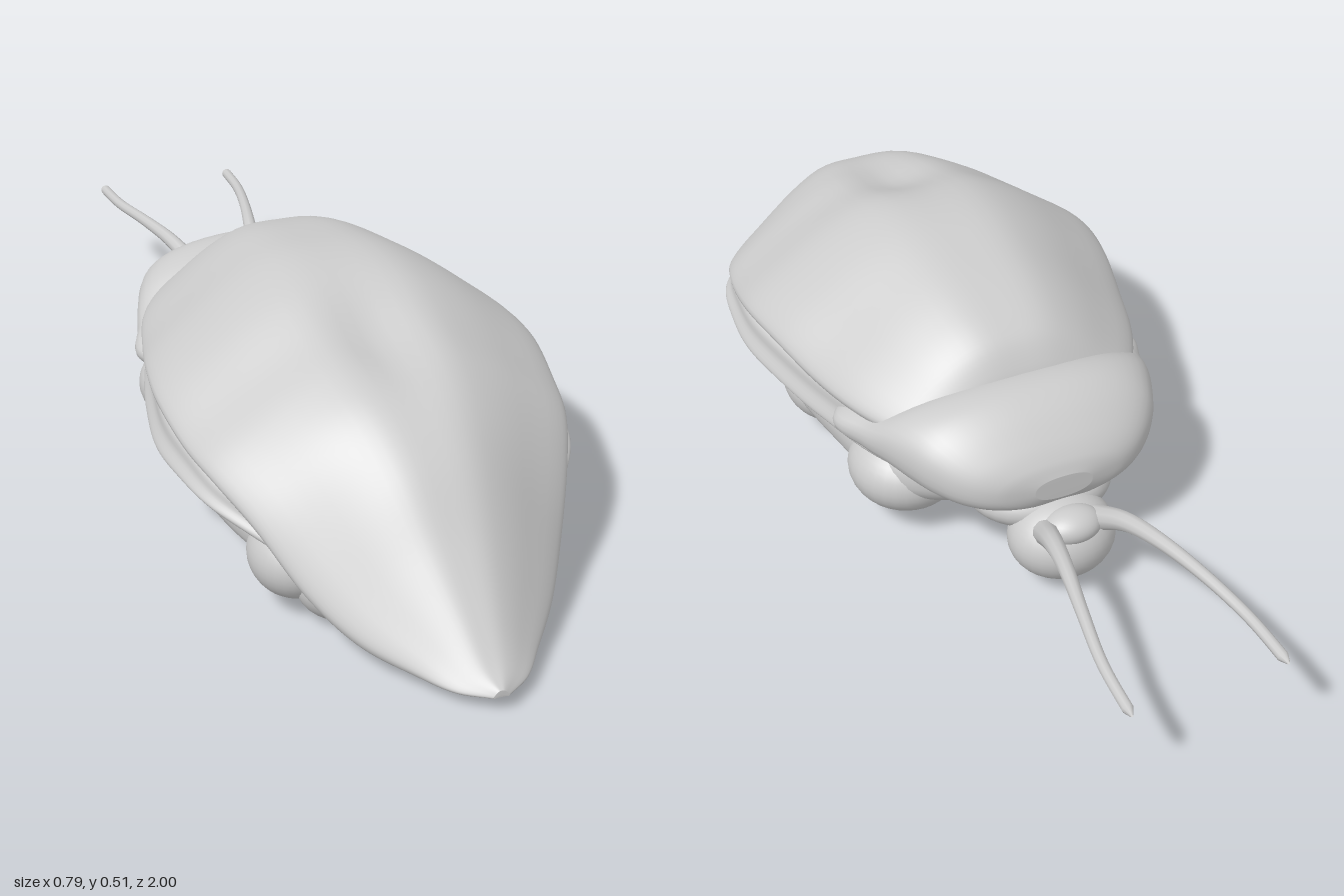
import * as THREE from 'three';

const material = new THREE.MeshStandardMaterial({ color: 0xcccccc, roughness: 0.8, side: THREE.DoubleSide });

// Smooth interpolation of rows [z, a, b, ...] at a given z
function sample(keys, z) {
  let i = 0;
  while (i < keys.length - 2 && z > keys[i + 1][0]) i++;
  const p = keys[i], q = keys[i + 1], h = q[0] - p[0], s = (z - p[0]) / h;
  const slope = (k, c) => {
    const a = keys[Math.max(k - 1, 0)], b = keys[Math.min(k + 1, keys.length - 1)];
    return (b[c] - a[c]) / (b[0] - a[0]);
  };
  return p.slice(1).map((v, n) => {
    const c = n + 1, s2 = s * s, s3 = s2 * s;
    return (2 * s3 - 3 * s2 + 1) * v + (s3 - 2 * s2 + s) * h * slope(i, c)
      + (3 * s2 - 2 * s3) * q[c] + (s3 - s2) * h * slope(i + 1, c);
  });
}

// Closed surface from counter-clockwise rings running towards +z
function loft(name, keys, section, steps = 72) {
  const z0 = keys[0][0], z1 = keys[keys.length - 1][0], pos = [], index = [];
  let n = 0;
  for (let i = 0; i <= steps; i++) {
    const z = z0 + (z1 - z0) * (1 - Math.cos(Math.PI * i / steps)) / 2;
    const ring = section(sample(keys, z), z);
    n = ring.length;
    ring.forEach(([x, y]) => pos.push(x, y, z));
  }
  for (let i = 0; i < steps; i++) for (let j = 0; j < n; j++) {
    const k = (j + 1) % n, a = i * n + j, b = i * n + k;
    index.push(a, b, a + n, b, b + n, a + n);
  }
  for (const [row, end] of [[0, false], [steps, true]]) {
    const c = pos.length / 3;
    let y = 0;
    for (let j = 0; j < n; j++) y += pos[(row * n + j) * 3 + 1] / n;
    pos.push(0, y, end ? z1 : z0);
    for (let j = 0; j < n; j++) {
      const a = row * n + j, b = row * n + (j + 1) % n;
      end ? index.push(c, a, b) : index.push(c, b, a);
    }
  }
  const g = new THREE.BufferGeometry();
  g.setAttribute('position', new THREE.Float32BufferAttribute(pos, 3));
  g.setIndex(index);
  g.computeVertexNormals();
  return named(name, g);
}

function named(name, geometry) {
  const mesh = new THREE.Mesh(geometry, material);
  mesh.name = name;
  return mesh;
}

function blob(name, [x, y, z], [rx, ry, rz]) {
  const mesh = named(name, new THREE.SphereGeometry(1, 32, 20));
  mesh.position.set(x, y, z);
  mesh.scale.set(rx, ry, rz);
  return mesh;
}

// Full symmetric ring from a half outline that runs bottom centre to top centre
function profileRing(half, count = 56) {
  const left = half.slice(1, -1).reverse().map(([x, y]) => [-x, y]);
  const pts = [...half, ...left].map(([x, y]) => new THREE.Vector3(x, y, 0));
  const curve = new THREE.CatmullRomCurve3(pts, true, 'centripetal');
  return Array.from({ length: count }, (_, i) => {
    const p = curve.getPoint(i / count);
    return [p.x, p.y];
  });
}

// Superellipse ring between a bottom and a top height
function ovalRing(w, top, bottom, power) {
  const f = v => Math.sign(v) * Math.abs(v) ** power;
  return Array.from({ length: 48 }, (_, i) => {
    const a = i / 48 * Math.PI * 2;
    return [w * f(Math.cos(a)), (top + bottom) / 2 + (top - bottom) / 2 * f(Math.sin(a))];
  });
}

export function createModel() {
  const group = new THREE.Group();
  group.name = 'beetle';

  // Wing case: half width, top height, rim height
  const wing = [
    [-0.26, 0.17, 0.31, 0.28], [-0.235, 0.225, 0.37, 0.275], [-0.19, 0.265, 0.425, 0.27],
    [-0.1, 0.31, 0.465, 0.272], [0.02, 0.345, 0.492, 0.275], [0.15, 0.375, 0.508, 0.29],
    [0.27, 0.388, 0.498, 0.285], [0.4, 0.375, 0.455, 0.255], [0.5, 0.352, 0.43, 0.235],
    [0.6, 0.308, 0.395, 0.185], [0.7, 0.252, 0.325, 0.1], [0.8, 0.19, 0.22, 0.05],
    [0.9, 0.115, 0.122, 0.032], [0.96, 0.068, 0.068, 0.028], [1, 0.015, 0.045, 0.032],
  ];
  group.add(loft('wingCase', wing, ([w, t, e], z) => {
    const h = t - e;
    // shallow hollow along the back of the shell
    const dip = 0.022 * Math.exp(-(((z - 0.42) / 0.13) ** 2));
    return profileRing([
      [0, e], [w * 0.6, e - h * 0.02], [w * 0.93, e - h * 0.04], [w, e + h * 0.08], [w * 0.96, e + h * 0.2],
      [w * 0.78, e + h * 0.46], [w * 0.52, e + h * 0.78], [w * 0.27, e + h * 0.97], [0, t - dip],
    ]);
  }, 90));

  // Ledge below the wing case: half width, top height, underside height
  const ledge = [
    [-0.24, 0.2, 0.27, 0.19], [-0.18, 0.27, 0.275, 0.19], [0, 0.338, 0.275, 0.195], [0.15, 0.375, 0.275, 0.198],
    [0.28, 0.394, 0.272, 0.198], [0.4, 0.385, 0.26, 0.198], [0.5, 0.363, 0.24, 0.192],
    [0.58, 0.318, 0.22, 0.175], [0.68, 0.23, 0.17, 0.13],
  ];
  group.add(loft('sideLedge', ledge, ([w, t, b]) => profileRing([
    [0, b - 0.01], [w * 0.86, b - 0.01], [w * 0.97, b], [w, b + 0.012],
    [w * 0.965, b + (t - b) * 0.55], [w * 0.94, t], [0, t],
  ])));

  // Belly: half width, top height, bottom height
  const belly = [
    [-0.3, 0.1, 0.22, 0.13], [-0.24, 0.22, 0.24, 0.09], [-0.15, 0.275, 0.25, 0.05], [0, 0.3, 0.25, 0.042],
    [0.2, 0.325, 0.25, 0.042], [0.4, 0.32, 0.25, 0.046], [0.55, 0.285, 0.23, 0.05],
    [0.65, 0.22, 0.18, 0.055], [0.72, 0.1, 0.12, 0.07],
  ];
  group.add(loft('belly', belly, ([w, t, b]) => ovalRing(w, t, b, 0.8)));

  // Chest shield: half width, top height, bottom height
  const chest = [
    [-0.422, 0.06, 0.25, 0.2], [-0.41, 0.13, 0.275, 0.18], [-0.38, 0.19, 0.31, 0.165], [-0.33, 0.238, 0.35, 0.155],
    [-0.28, 0.264, 0.37, 0.15], [-0.22, 0.287, 0.362, 0.155], [-0.15, 0.308, 0.32, 0.165],
    [-0.05, 0.328, 0.285, 0.18], [0.06, 0.2, 0.25, 0.2],
  ];
  group.add(loft('chestShield', chest, ([w, t, b]) => ovalRing(w, t, b, 0.85)));

  // Head and neck
  group.add(blob('head', [0, 0.106, -0.415], [0.108, 0.086, 0.097]));
  group.add(blob('brow', [0, 0.16, -0.46], [0.06, 0.035, 0.045]));
  group.add(blob('neck', [0, 0.16, -0.31], [0.15, 0.065, 0.12]));

  // Mirrored leg lobes and feelers
  for (const [side, s] of [['left', 1], ['right', -1]]) {
    group.add(blob(side + 'FrontLobe', [s * 0.2, 0.125, -0.11], [0.115, 0.087, 0.12]));
    group.add(blob(side + 'MiddleLobe', [s * 0.245, 0.118, 0.22], [0.085, 0.076, 0.11]));
    group.add(blob(side + 'InnerRearLobe', [s * 0.14, 0.08, 0.63], [0.1, 0.08, 0.078]));
    group.add(blob(side + 'OuterRearLobe', [s * 0.22, 0.11, 0.56], [0.085, 0.08, 0.1]));

    const path = new THREE.CatmullRomCurve3([
      [0.055, 0.155, -0.455], [0.075, 0.195, -0.53], [0.095, 0.215, -0.62],
      [0.122, 0.219, -0.74], [0.146, 0.212, -0.87], [0.154, 0.206, -0.995],
    ].map(([x, y, z]) => new THREE.Vector3(s * x, y, z)));
    const rings = 32, sides = 10;
    const g = new THREE.TubeGeometry(path, rings, 1, sides);
    const p = g.attributes.position, v = new THREE.Vector3();
    for (let i = 0; i <= rings; i++) {
      const c = path.getPointAt(i / rings);
      const r = i === rings ? 0.003 : 0.011 + 0.014 * (1 - i / rings) ** 3;
      for (let j = 0; j <= sides; j++) {
        const k = i * (sides + 1) + j;
        v.fromBufferAttribute(p, k).sub(c).multiplyScalar(r).add(c);
        p.setXYZ(k, v.x, v.y, v.z);
      }
    }
    group.add(named(side + 'Feeler', g));
  }
  return group;
}
